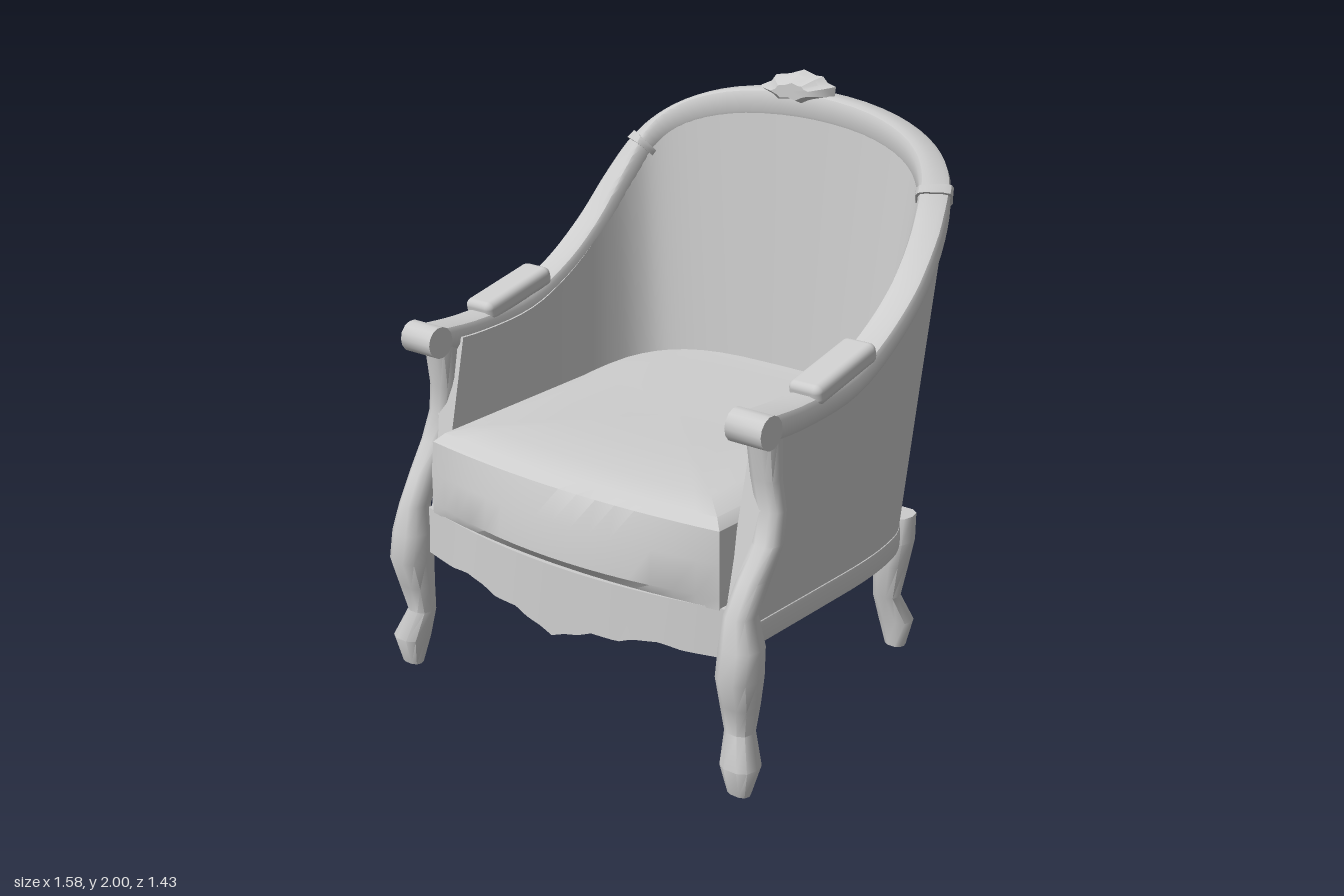
import * as THREE from 'three';
import { toCreasedNormals } from 'three/addons/utils/BufferGeometryUtils.js';
import { RoundedBoxGeometry } from 'three/addons/geometries/RoundedBoxGeometry.js';

const V = (x, y, z) => new THREE.Vector3(x, y, z);
const spow = (v, e) => Math.sign(v) * Math.pow(Math.abs(v), e);

// Closed skin over a list of rings, with fan caps at the ends
function skin(rings, crease = 0.7, capStart = true) {
  const n = rings[0].length, last = rings.length - 1, pos = [], idx = [];
  rings.forEach(r => r.forEach(p => pos.push(p.x, p.y, p.z)));
  for (let i = 0; i < last; i++) {
    for (let j = 0; j < n; j++) {
      const a = i * n + j, b = i * n + (j + 1) % n;
      idx.push(a, a + n, b, b, a + n, b + n);
    }
  }
  (capStart ? [0, last] : [last]).forEach(i => {
    const c = rings[i].reduce((s, p) => s.add(p), V(0, 0, 0)).divideScalar(n);
    const ci = pos.length / 3;
    pos.push(c.x, c.y, c.z);
    for (let j = 0; j < n; j++) {
      const a = i * n + j, b = i * n + (j + 1) % n;
      if (i) idx.push(ci, b, a); else idx.push(ci, a, b);
    }
  });
  const g = new THREE.BufferGeometry();
  g.setAttribute('position', new THREE.Float32BufferAttribute(pos, 3));
  g.setIndex(idx);
  return toCreasedNormals(g, crease);
}

// Point on a path with its horizontal outward side and its upward side
function frame(curve, t) {
  const T = curve.getTangent(t);
  const O = V(-T.z, 0, T.x).normalize();
  return { P: curve.getPoint(t), O, N: O.clone().cross(T).normalize() };
}

// Rounded section swept along a path; size(t) gives the half width and half height
function sweep(curve, t0, t1, steps, size, e = 0.5) {
  const rings = [];
  for (let i = 0; i <= steps; i++) {
    const t = t0 + (t1 - t0) * i / steps, { P, O, N } = frame(curve, t), [a, b] = size(t);
    rings.push(Array.from({ length: 12 }, (_, j) => {
      const w = (j + 0.5) / 12 * Math.PI * 2;
      return P.clone().addScaledVector(O, a * spow(Math.cos(w), e)).addScaledVector(N, b * spow(Math.sin(w), e));
    }));
  }
  return skin(rings);
}

// Left half of the frame, front to back centre: rail x, y, z, then base x, z
const HALF = [
  [0.688, 1.18, 0.56, 0.642, 0.61], [0.688, 1.17, 0.35, 0.642, 0.38], [0.688, 1.195, 0.08, 0.642, 0.1],
  [0.685, 1.28, -0.12, 0.64, -0.1], [0.68, 1.41, -0.3, 0.625, -0.26], [0.66, 1.565, -0.44, 0.59, -0.4],
  [0.612, 1.695, -0.54, 0.52, -0.5], [0.52, 1.775, -0.6, 0.42, -0.565], [0.33, 1.843, -0.645, 0.25, -0.62],
  [0, 1.875, -0.662, 0, -0.645],
];
const FULL = [...HALF, ...HALF.slice(0, -1).reverse().map(([x, y, z, u, w]) => [-x, y, z, -u, w])];
const railCurve = new THREE.CatmullRomCurve3(FULL.map(p => V(p[0], p[1], p[2])));
const baseCurve = new THREE.CatmullRomCurve3(FULL.map(p => V(p[3], 0.463, p[4])));

// Leg sections, bottom to top: x, y, z, half width, half depth
const FRONT_LEG = [
  [0.725, 0, 0.65, 0.04, 0.026], [0.727, 0.1, 0.647, 0.064, 0.058], [0.702, 0.2, 0.618, 0.048, 0.044],
  [0.71, 0.3, 0.63, 0.063, 0.055], [0.716, 0.4, 0.641, 0.07, 0.075], [0.715, 0.5, 0.63, 0.07, 0.066],
  [0.706, 0.6, 0.625, 0.05, 0.053], [0.71, 0.7, 0.565, 0.047, 0.056], [0.715, 0.8, 0.502, 0.048, 0.046],
  [0.705, 0.9, 0.474, 0.048, 0.038], [0.688, 1.0, 0.478, 0.05, 0.04], [0.685, 1.16, 0.49, 0.055, 0.052],
];
const REAR_LEG = [
  [0.535, 0, -0.53, 0.037, 0.03], [0.53, 0.1, -0.535, 0.067, 0.045], [0.51, 0.2, -0.5, 0.05, 0.04],
  [0.525, 0.33, -0.5, 0.06, 0.058], [0.53, 0.42, -0.505, 0.07, 0.066], [0.53, 0.51, -0.525, 0.06, 0.06],
];

function leg(sections, side) {
  return skin(sections.map(([x, y, z, a, b]) => Array.from({ length: 10 }, (_, j) => {
    const w = j / 10 * Math.PI * 2;
    return V(side * x + a * spow(Math.cos(w), 0.8), y, z + b * spow(Math.sin(w), 0.8));
  })), 0.8);
}

export function createModel() {
  const model = new THREE.Group();
  const grey = new THREE.MeshStandardMaterial({ color: 0xcccccc, side: THREE.DoubleSide });
  grey.name = 'light grey';
  const add = (name, geometry) => {
    const m = new THREE.Mesh(geometry, grey);
    m.name = name;
    model.add(m);
    return m;
  };

  // Wraparound upholstered back and sides, nearly flush with the rail outside
  const shell = [];
  for (let i = 0; i <= 72; i++) {
    const u = i / 72, back = Math.sin(Math.PI * u);
    const r = frame(railCurve, 0.03 + 0.94 * u), b = frame(baseCurve, u);
    const foot = d => b.P.clone().addScaledVector(b.O, d).setY(0.47);
    const head = (d, h) => r.P.clone().addScaledVector(r.O, d).addScaledVector(r.N, h);
    shell.push([foot(0.014), head(0.025 + 0.028 * back, 0.03 * back),
      head(-0.07 + 0.025 * back, 0), foot(-0.03 - 0.09 * back)]);
  }
  add('upholsteredShell', skin(shell, 0.8));

  // Carved rail forming the arms and the top of the back
  add('armAndBackRail', sweep(railCurve, 0, 1, 80, t => {
    const k = Math.sin(Math.PI * t) ** 2, steep = Math.sin(2 * Math.PI * t) ** 2;
    return [0.06 - 0.008 * k, 0.047 + 0.006 * k - 0.01 * steep];
  }));
  add('baseRail', sweep(baseCurve, 0, 1, 60, () => [0.022, 0.042], 0.35));

  // Thin bands around the rail
  const bandAt = 5.8 / 18;
  [bandAt, 1 - bandAt].forEach(t =>
    add('railBand', sweep(railCurve, t - 0.005, t + 0.005, 2, () => [0.063, 0.053])));

  // Arm pads, scrolled arm ends and legs
  for (const s of [1, -1]) {
    const pad = add('armPad', new RoundedBoxGeometry(0.125, 0.07, 0.33, 3, 0.025));
    pad.position.set(s * 0.692, 1.25, 0.14);
    pad.rotation.x = 0.22;
    const scroll = add('armScroll', toCreasedNormals(new THREE.CylinderGeometry(0.055, 0.055, 0.135, 14), 0.7));
    scroll.rotation.z = Math.PI / 2;
    scroll.position.set(s * 0.69, 1.178, 0.55);
    add('frontLeg', leg(FRONT_LEG, s));
    add('rearLeg', leg(REAR_LEG, s));
  }

  // Crowned seat cushion, open below, square in front and rounded behind: height, scale, forward bow
  const plan = [];
  for (let i = 0; i <= 16; i++) plan.push([1 - i / 8, 1]);
  for (let i = 0; i <= 24; i++) {
    const w = Math.PI * (1 + i / 24);
    plan.push([spow(Math.cos(w), 0.6), spow(Math.sin(w), 0.6)]);
  }
  const levels = [[0.585, 1, 0.06], [0.625, 1, 0.095], [0.74, 1, 0.08], [0.845, 0.99, 0.05],
    [0.875, 0.94, 0.04], [0.9, 0.8, 0.03], [0.915, 0.5, 0.015], [0.92, 0.2, 0]];
  add('seatCushion', skin(levels.map(([y, s, bow]) => plan.map(([x, q]) => {
    const z = (q > 0 ? 0.57 + bow * (1 - x * x) : 0.6 * q) * s;
    const rise = y > 0.8 ? (0.94 - y) * Math.max(0, -z / 0.6) : 0;
    return V(0.62 * x * s, y + rise, 0.05 + z);
  })), 0.6, false));

  // Bowed front apron with a scalloped lower edge
  const EDGE = [[0, 0.345], [0.05, 0.365], [0.12, 0.38], [0.16, 0.4], [0.27, 0.4], [0.32, 0.42], [0.42, 0.435], [0.5, 0.425], [0.7, 0.43]];
  const lower = x => {
    const i = Math.max(1, EDGE.findIndex(p => p[0] >= x)), [a, b] = [EDGE[i - 1], EDGE[i]];
    return a[1] + (b[1] - a[1]) * (x - a[0]) / (b[0] - a[0]);
  };
  const apron = new THREE.BoxGeometry(1.32, 0.16, 0.03, 48, 2, 1);
  const p = apron.attributes.position;
  for (let i = 0; i < p.count; i++) {
    const x = p.getX(i), v = p.getY(i) / 0.16 + 0.5, low = lower(Math.abs(x));
    p.setY(i, low + (0.59 - low) * v);
    p.setZ(i, p.getZ(i) + 0.6 + 0.095 * (1 - (x / 0.66) ** 2) - 0.01 * v);
  }
  add('frontApron', toCreasedNormals(apron, 0.6));

  // Leafy crest on the top rail, thinning toward its tip
  const outline = [[-0.185, 1.925], [-0.14, 1.945], [-0.12, 1.97], [-0.06, 1.98], [0, 2.0], [0.05, 1.985], [0.08, 1.985],
    [0.1, 1.965], [0.135, 1.955], [0.13, 1.92], [0.08, 1.905], [0.03, 1.88], [-0.03, 1.895], [-0.1, 1.885], [-0.13, 1.905]];
  const crest = [[0.45, -0.685], [0.85, -0.668], [1, -0.65], [0.85, -0.618], [0.5, -0.59]];
  add('crest', skin(crest.map(([s, z]) =>
    outline.map(([x, y]) => V(-0.02 + (x + 0.02) * s, 1.92 + (y - 1.92) * s, z))), 0.5));

  return model;
}
